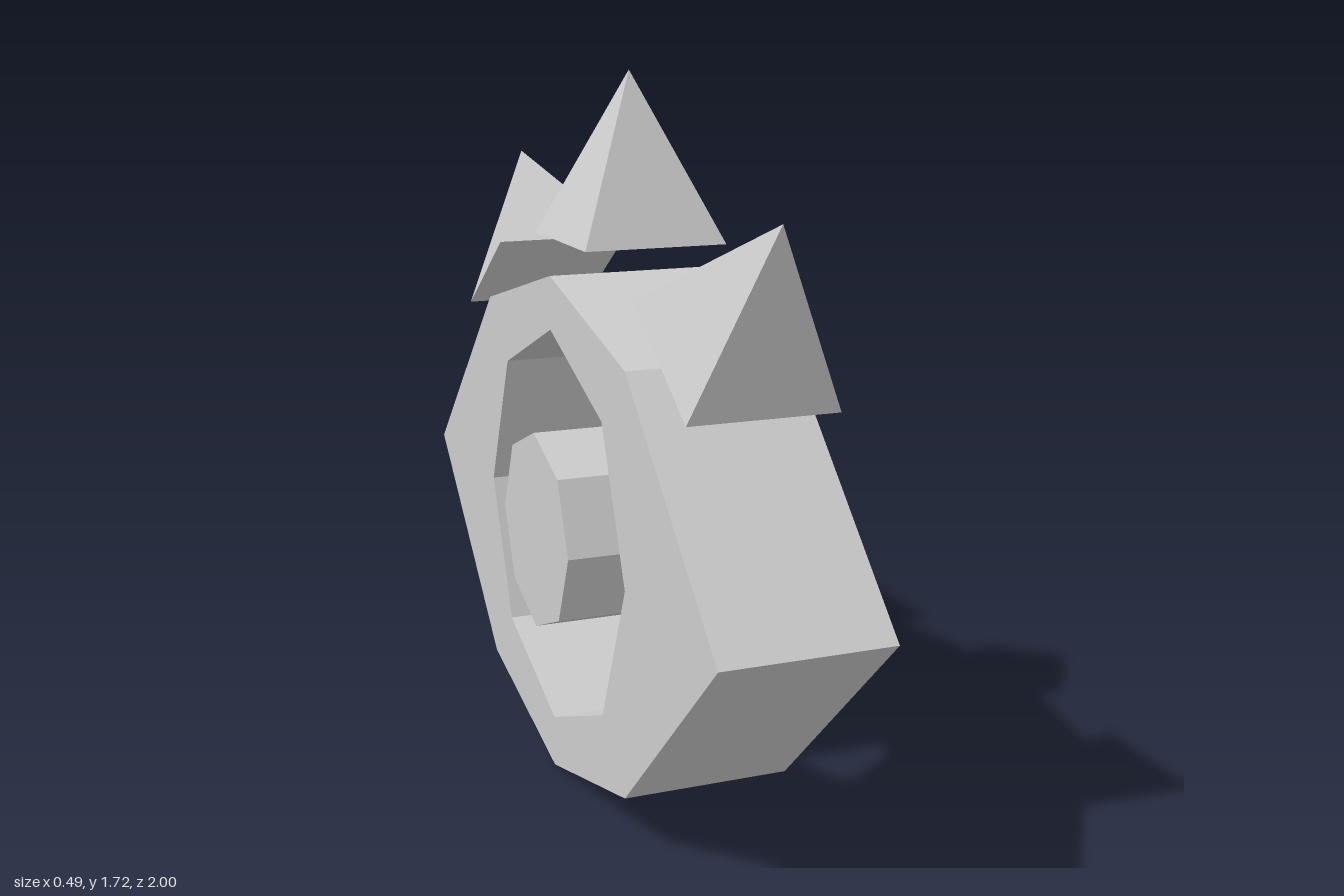
import * as THREE from 'three';

const MID_Y = 0.626;

export function createModel() {
  const model = new THREE.Group();
  model.name = 'eye';
  const grey = new THREE.MeshStandardMaterial({ color: 0xcccccc });
  grey.name = 'light grey';
  grey.flatShading = true;

  const add = (name, geometry, y, z = 0, tilt = 0) => {
    const mesh = new THREE.Mesh(geometry, grey);
    mesh.name = name;
    mesh.position.set(0, y, z);
    mesh.rotation.x = tilt;
    model.add(mesh);
  };

  // Almond-shaped frame with an octagonal opening, extruded across x
  const outline = [[1, 0], [0.495, 0.494], [0, 0.624], [-0.495, 0.494],
    [-1, 0], [-0.495, -0.494], [0, -0.624], [0.495, -0.494]];
  const shape = new THREE.Shape(outline.map(([u, v]) => new THREE.Vector2(u, v)));
  const opening = [];
  for (let i = 0; i < 8; i++) {
    const a = -i * Math.PI / 4;
    opening.push(new THREE.Vector2(Math.cos(a) * 0.495, Math.sin(a) * 0.495));
  }
  shape.holes.push(new THREE.Path(opening));
  const frame = new THREE.ExtrudeGeometry(shape, { depth: 0.4, bevelEnabled: false });
  frame.translate(0, 0, -0.2).rotateY(Math.PI / 2);
  add('eyeFrame', frame, MID_Y);

  // Octagonal pupil, a little deeper than the frame
  const pupil = new THREE.CylinderGeometry(0.246, 0.246, 0.49, 8).rotateZ(Math.PI / 2);
  add('pupil', pupil, MID_Y);

  // Three floating pyramid lashes: one upright, two leaning outward
  const pyramid = (height) => new THREE.ConeGeometry(0.247, height, 4)
    .rotateY(Math.PI / 4).scale(1, 1, 1.03).translate(0, height / 2, 0);
  add('topLash', pyramid(0.395), 1.33);
  for (const side of [1, -1]) {
    add(side > 0 ? 'frontLash' : 'backLash', pyramid(0.37), 1.163, side * 0.623, side * 0.611);
  }
  return model;
}
